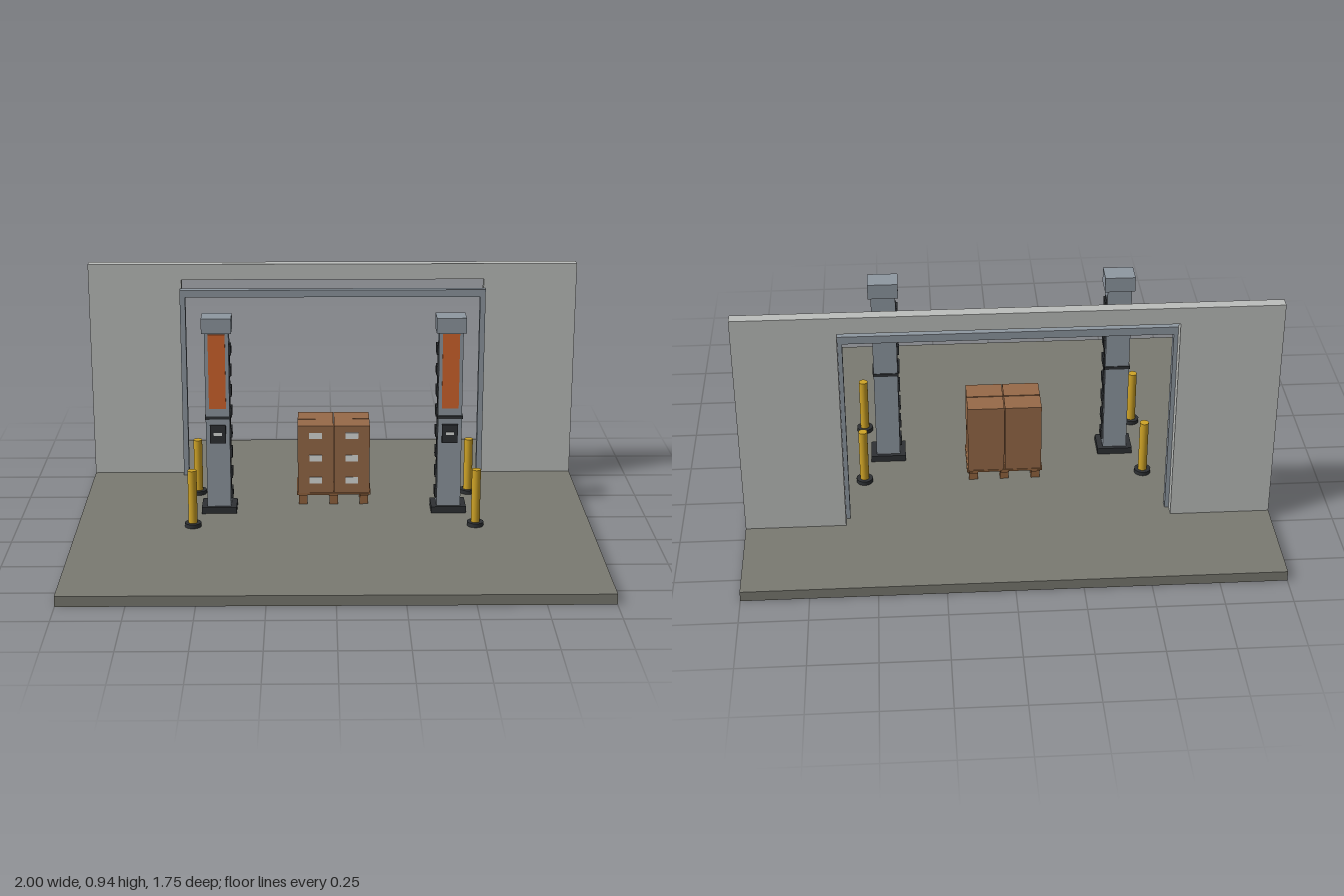
import * as THREE from 'three';

const mat = (name, color) => {
  const m = new THREE.MeshStandardMaterial({ color });
  m.name = name;
  return m;
};

export function createModel() {
  const concrete = mat('concrete floor', 0x7a7a71);
  const plaster = mat('wall grey', 0xbcbebc);
  const steel = mat('steel grey', 0x8f98a1);
  const orange = mat('orange panel', 0xd2642c);
  const dark = mat('dark rubber', 0x2e3134);
  const yellow = mat('safety yellow', 0xd0a426);
  const cardboard = mat('cardboard', 0x976a48);
  const wood = mat('pallet wood', 0x94653f);
  const paper = mat('label white', 0xdcdedc);

  const model = new THREE.Group();
  model.name = 'dockGate';

  const add = (parent, name, geometry, material, x, y, z) => {
    const mesh = new THREE.Mesh(geometry, material);
    mesh.name = name;
    mesh.position.set(x, y, z);
    parent.add(mesh);
    return mesh;
  };
  // Box given by its extents on each axis
  const box = (parent, name, material, [x0, x1], [y0, y1], [z0, z1]) =>
    add(parent, name, new THREE.BoxGeometry(x1 - x0, y1 - y0, z1 - z0), material,
      (x0 + x1) / 2, (y0 + y1) / 2, (z0 + z1) / 2);
  const group = (name) => {
    const g = new THREE.Group();
    g.name = name;
    model.add(g);
    return g;
  };

  const floorY = 0.04;
  box(model, 'floor', concrete, [-1, 1], [0, floorY], [-0.875, 0.875]);

  // Wall with a doorway cut up from the floor
  const outline = new THREE.Shape([
    [-1, floorY], [-0.62, floorY], [-0.62, 0.875], [0.62, 0.875],
    [0.62, floorY], [1, floorY], [1, 0.94], [-1, 0.94],
  ].map(([x, y]) => new THREE.Vector2(x, y)));
  add(model, 'wall', new THREE.ExtrudeGeometry(outline, { depth: 0.044, bevelEnabled: false }),
    plaster, 0, 0, -0.484);

  // Door frame standing in front of the wall
  const frame = group('doorFrame');
  for (const s of [-1, 1]) {
    box(frame, 'framePost', steel, [s * 0.615 - 0.011, s * 0.615 + 0.011],
      [floorY, 0.808], [-0.44, -0.408]);
  }
  box(frame, 'frameHeader', steel, [-0.626, 0.626], [0.808, 0.838], [-0.44, -0.41]);

  // Scanner columns, mirrored so the sensors face each other
  for (const s of [-1, 1]) {
    const column = group(s < 0 ? 'rightColumn' : 'leftColumn');
    column.position.x = s * 0.455;
    box(column, 'columnBase', dark, [-0.069, 0.069], [floorY, 0.066], [-0.054, 0.054]);
    box(column, 'columnBody', steel, [-0.047, 0.047], [0.066, 0.776], [-0.039, 0.039]);
    box(column, 'columnCap', steel, [-0.058, 0.058], [0.776, 0.836], [-0.045, 0.045]);
    box(column, 'columnBand', dark, [-0.05, 0.05], [0.428, 0.441], [-0.042, 0.042]);
    box(column, 'frontPanel', orange, [-0.033, 0.033], [0.472, 0.772], [0.039, 0.043]);
    box(column, 'controlBox', dark, [-0.031, 0.031], [0.332, 0.406], [0.039, 0.05]);
    box(column, 'controlLabel', paper, [-0.016, 0.016], [0.365, 0.376], [0.05, 0.052]);
    const inner = -s * 0.047;
    add(column, 'sensorStrip', new THREE.BoxGeometry(0.004, 0.64, 0.036), dark, inner, 0.41, 0);
    for (let i = 0; i < 8; i++) {
      add(column, 'sensor', new THREE.BoxGeometry(0.016, 0.038, 0.05), dark,
        inner, 0.703 - i * 0.084, 0);
    }
  }

  // Four bollards
  for (const x of [-0.55, 0.55]) {
    for (const z of [-0.188, 0.188]) {
      const bollard = group('bollard');
      add(bollard, 'bollardFoot', new THREE.CylinderGeometry(0.032, 0.032, 0.016, 20), dark,
        x, 0.048, z);
      add(bollard, 'bollardPost', new THREE.CylinderGeometry(0.0175, 0.0175, 0.215, 20), yellow,
        x, 0.1625, z);
    }
  }

  // Pallet: skids, blocks and deck
  const pallet = group('pallet');
  pallet.position.z = -0.128;
  for (const x of [-0.122, 0, 0.122]) {
    const span = [x - 0.017, x + 0.017];
    box(pallet, 'palletSkid', wood, span, [floorY, 0.062], [-0.075, 0.075]);
    for (const [z, half] of [[-0.068, 0.007], [0, 0.022], [0.068, 0.007]]) {
      box(pallet, 'palletBlock', wood, span, [0.062, 0.082], [z - half, z + half]);
    }
    box(pallet, 'palletBeam', wood, span, [0.082, 0.09], [-0.096, 0.096]);
  }
  box(pallet, 'palletDeck', wood, [-0.148, 0.148], [0.086, 0.094], [-0.094, 0.094]);

  // Cartons in two rows of two, labelled on the front
  const cartons = group('cartons');
  cartons.position.z = -0.128;
  for (const x of [-0.0725, 0.0725]) {
    for (const z of [-0.047, 0.047]) {
      box(cartons, 'carton', cardboard, [x - 0.071, x + 0.071], [0.094, 0.375],
        [z - 0.0445, z + 0.0445]);
    }
    for (const y of [0.147, 0.24, 0.334]) {
      box(cartons, 'cartonLabel', paper, [x - 0.025, x + 0.025], [y - 0.013, y + 0.013],
        [0.0915, 0.0935]);
    }
  }

  return model;
}
